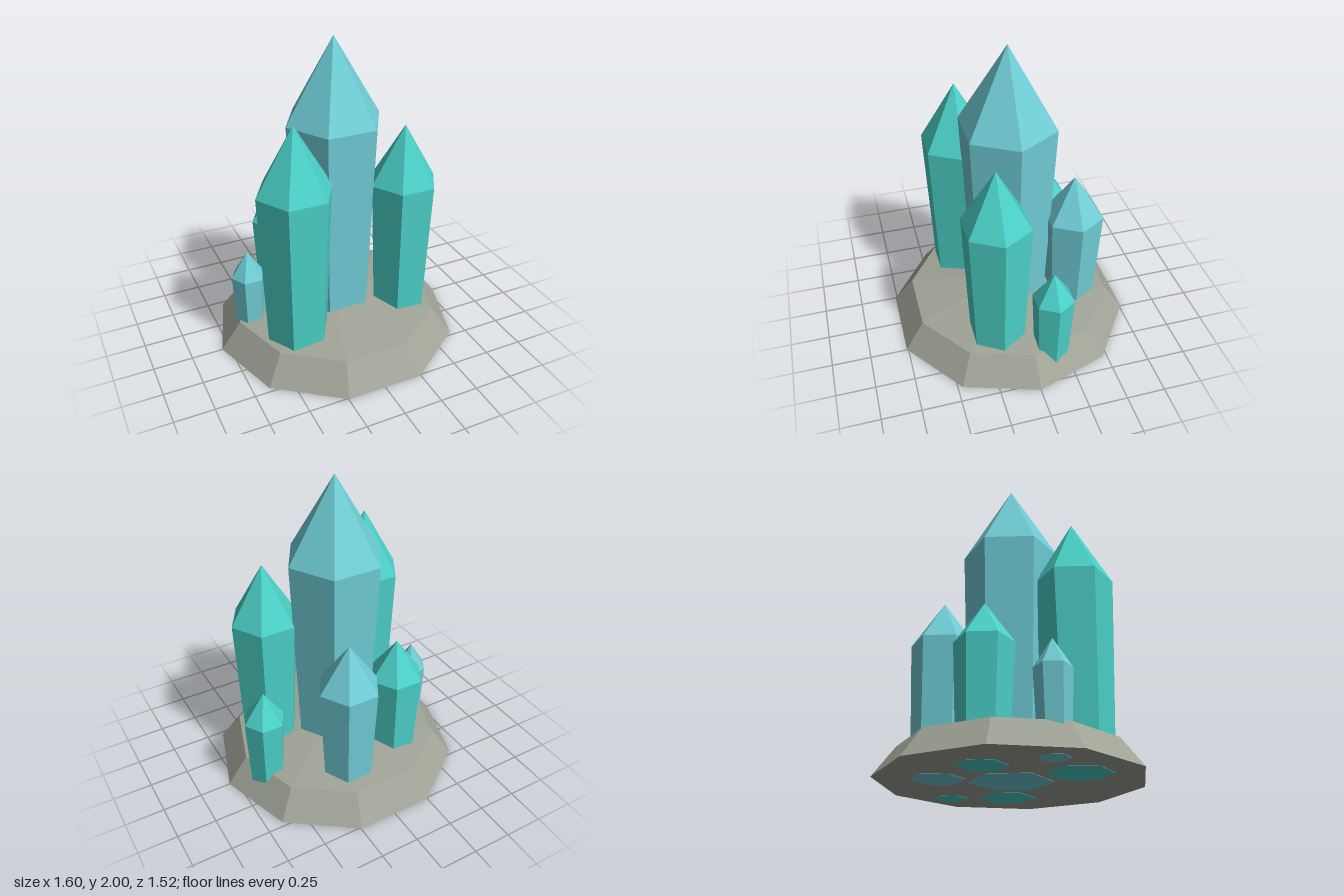
import * as THREE from 'three';

const stone = new THREE.MeshStandardMaterial({ color: 0xa0a497 });
stone.name = 'stone grey';
const teal = new THREE.MeshStandardMaterial({ color: 0x4bd1c8 });
teal.name = 'crystal teal';
const blue = new THREE.MeshStandardMaterial({ color: 0x70cdd6 });
blue.name = 'crystal blue';

// Faceted solid turned from a profile of [radius, height], with a corner on the x axis
function facetedSolid(name, profile, sides, material) {
  const points = profile.map(([r, y]) => new THREE.Vector2(r, y));
  const geometry = new THREE.LatheGeometry(points, sides).rotateY(Math.PI / 2).toNonIndexed();
  geometry.computeVertexNormals(); // one normal per facet
  const mesh = new THREE.Mesh(geometry, material);
  mesh.name = name;
  return mesh;
}

// Six-sided crystal that widens up to its shoulder, then closes to a point
function crystal({ name, x, z, radius, height, material }) {
  const shoulder = height * 0.742;
  const profile = [[0, 0], [radius * 0.8, 0], [radius, shoulder], [0, height]];
  const mesh = facetedSolid(name, profile, 6, material);
  mesh.position.set(x, 0, z);
  return mesh;
}

export function createModel() {
  const model = new THREE.Group();
  model.name = 'crystalCluster';

  // Ten-sided rock with a sloped rim and a slightly raised top;
  // its underside sits just above the crystal feet
  const rock = [[0, 0.002], [0.8, 0.002], [0.668, 0.18], [0, 0.28]];
  model.add(facetedSolid('rockBase', rock, 10, stone));

  // Crystals
  const crystals = [
    { name: 'centreCrystal', x: 0, z: 0, radius: 0.31, height: 2, material: blue },
    { name: 'frontRightCrystal', x: -0.36, z: 0.245, radius: 0.24, height: 1.6, material: teal },
    { name: 'frontLeftCrystal', x: 0.4, z: 0.178, radius: 0.22, height: 1.445, material: teal },
    { name: 'backCrystal', x: 0.133, z: -0.4, radius: 0.198, height: 1.11, material: blue },
    { name: 'backRightCrystal', x: -0.267, z: -0.311, radius: 0.178, height: 0.96, material: teal },
    { name: 'smallLeftCrystal', x: 0.578, z: -0.133, radius: 0.133, height: 0.757, material: teal },
    { name: 'smallRightCrystal', x: -0.578, z: -0.045, radius: 0.11, height: 0.67, material: blue },
  ];
  for (const spec of crystals) model.add(crystal(spec));

  return model;
}
